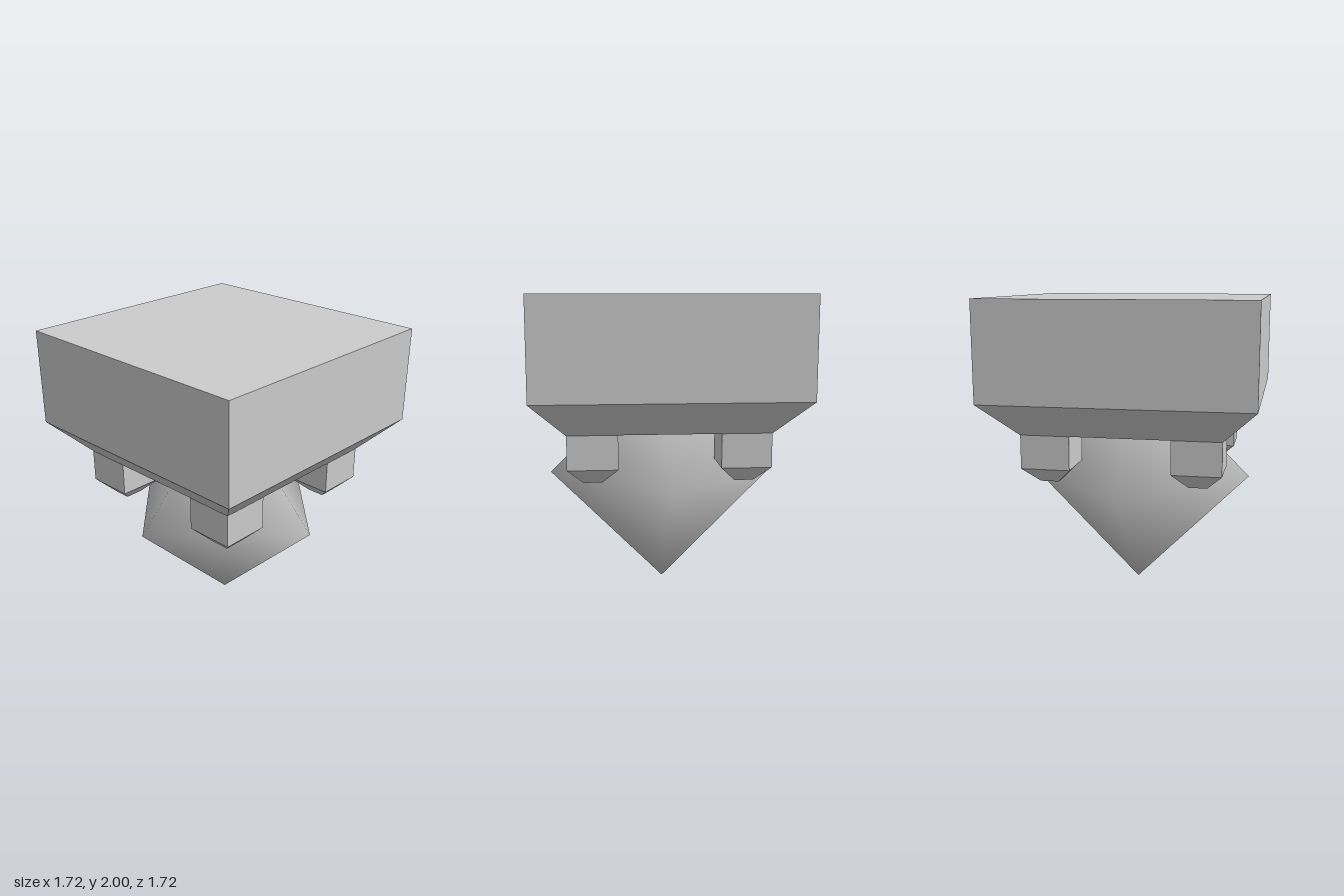
import * as THREE from 'three';
import { mergeVertices } from 'three/addons/utils/BufferGeometryUtils.js';

const grey = new THREE.MeshStandardMaterial({ color: 0xcccccc });

// Eight-point rings: squares aligned to the axes, diamonds with corners on the axes
const eighths = [[1, 0], [1, 1], [0, 1], [-1, 1], [-1, 0], [-1, -1], [0, -1], [1, -1]];
const square = (r, y) => eighths.map(([x, z]) => new THREE.Vector3(x * r, y, z * r));
const diamond = (r, y) => eighths.map(([x, z]) => {
  const k = x && z ? r / 2 : r;
  return new THREE.Vector3(x * k, y, z * k);
});

// Skin a list of rings with flat faces, skipping collapsed triangles
function loft(rings) {
  const points = [];
  const triangle = new THREE.Triangle();
  const add = (a, b, c) => {
    if (triangle.set(a, b, c).getArea() > 1e-7) points.push(a, b, c);
  };
  for (let i = 0; i < rings.length - 1; i++) {
    for (let j = 0; j < 8; j++) {
      const k = (j + 1) % 8;
      const a = rings[i][j], b = rings[i][k], c = rings[i + 1][k], d = rings[i + 1][j];
      add(a, b, c);
      add(a, c, d);
    }
  }
  const geometry = new THREE.BufferGeometry().setFromPoints(points);
  geometry.computeVertexNormals();
  return geometry;
}

function part(name, geometry) {
  const mesh = new THREE.Mesh(geometry, grey);
  mesh.name = name;
  return mesh;
}

export function createModel() {
  const model = new THREE.Group();
  model.name = 'hangingCrystalBlock';

  // Block with a tapered underside and a diamond-shaped recess
  model.add(part('block', loft([
    square(0, 2), square(0.86, 2), square(0.86, 1.36), square(0.645, 1.14),
    diamond(0.645, 1.14), diamond(0.645, 1.78), square(0, 1.78),
  ])));

  // Smooth-shaded crystal hanging in the recess
  const crystal = new THREE.OctahedronGeometry(0.775);
  crystal.deleteAttribute('normal');
  crystal.deleteAttribute('uv');
  const smooth = mergeVertices(crystal);
  smooth.computeVertexNormals();
  const crystalMesh = part('crystal', smooth);
  crystalMesh.position.y = 0.778;
  model.add(crystalMesh);

  // Four tapered corner pegs
  const peg = loft([
    square(0, 1.14), square(0.16, 1.14), square(0.16, 0.92),
    square(0.06, 0.82), square(0, 0.82),
  ]);
  for (const x of [-1, 1]) {
    for (const z of [-1, 1]) {
      const mesh = part('cornerPeg', peg);
      mesh.position.set(x * 0.484, 0, z * 0.484);
      model.add(mesh);
    }
  }
  return model;
}
